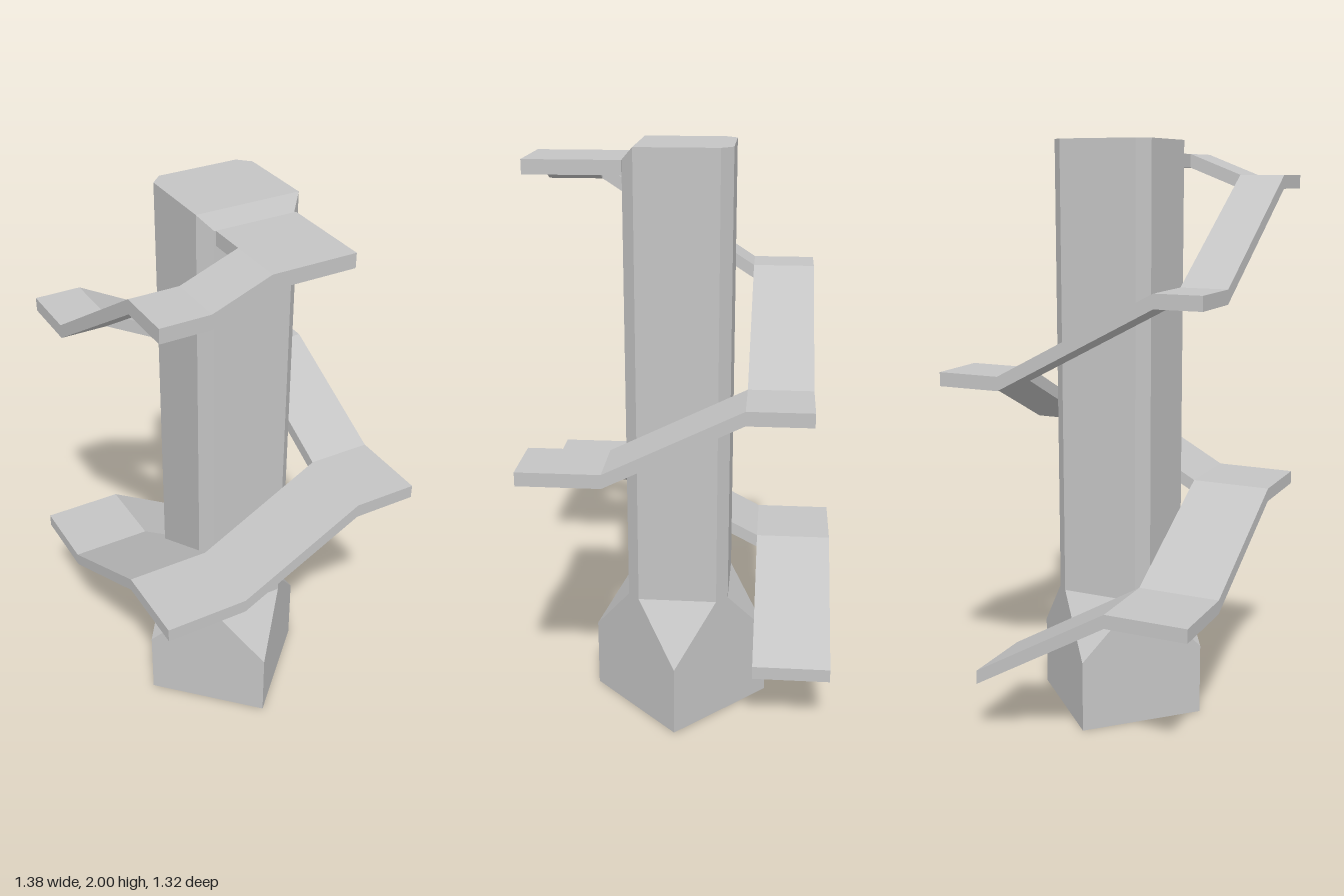
import * as THREE from 'three';
import { ConvexGeometry } from 'three/addons/geometries/ConvexGeometry.js';

const THICKNESS = 0.047;

export function createModel() {
  const group = new THREE.Group();
  const stone = new THREE.MeshStandardMaterial({ color: 0xc4c4c4 });
  stone.name = 'light grey stone';

  const add = (name, geometry) => {
    const mesh = new THREE.Mesh(geometry, stone);
    mesh.name = name;
    group.add(mesh);
  };

  // Column: square plinth whose corners taper into an octagonal shaft
  const cx = 0.03, cz = -0.03, half = 0.22, flat = 0.0275;
  const at = (x, y, z) => new THREE.Vector3(cx + x, y, cz + z);
  const square = (y) => [[1, 1], [-1, 1], [-1, -1], [1, -1]].map(([x, z]) => at(x * half, y, z * half));
  const octagon = (y) => [[half, flat], [flat, half], [-flat, half], [-half, flat],
    [-half, -flat], [-flat, -half], [flat, -half], [half, -flat]].map(([x, z]) => at(x, y, z));
  add('columnBase', new ConvexGeometry([...square(0), ...square(0.25), ...octagon(0.45)]));

  // Shaft: the top edge over the highest platform is bevelled
  const top = octagon(2);
  top[0].y = top[1].y = 1.957;
  add('columnShaft', new ConvexGeometry([...octagon(0.45), ...top]));

  // Slab on a diagonal grid: s = x + z, d = z - x. Top height runs from y0 to y1
  // along the chosen axis, at its low and high ends.
  function slab(name, [s0, s1], [d0, d1], y0, y1 = y0, axis = 's') {
    const geometry = new THREE.BoxGeometry(1, 1, 1).toNonIndexed();
    const p = geometry.attributes.position;
    for (let i = 0; i < p.count; i++) {
      const a = p.getX(i) + 0.5, b = p.getZ(i) + 0.5;
      const s = s0 + (s1 - s0) * a, d = d0 + (d1 - d0) * b;
      const y = y0 + (y1 - y0) * (axis === 's' ? a : b) + (p.getY(i) - 0.5) * THICKNESS;
      p.setXYZ(i, (s - d) / 2, y, (s + d) / 2);
    }
    geometry.computeVertexNormals();
    add(name, geometry);
  }

  // Lower turn of the ramp
  slab('ramp1', [-0.76, -0.38], [-0.46, 0.215], 0.262, 0.54, 'd');
  slab('leftLanding', [-0.76, -0.38], [0.215, 0.615], 0.54);
  slab('ramp2', [-0.38, 0.305], [0.215, 0.615], 0.54, 0.795, 's');
  slab('frontLanding', [0.305, 0.695], [0.215, 0.615], 0.795);
  slab('ramp3', [0.305, 0.695], [-0.385, 0.215], 1.028, 0.795, 'd');
  slab('rightLanding', [0.305, 0.695], [-0.695, -0.385], 1.028);
  slab('ramp4', [-0.33, 0.305], [-0.695, -0.385], 1.25, 1.028, 's');
  slab('backLanding', [-0.63, -0.33], [-0.695, -0.385], 1.25);

  // Upper turn, narrower, ending in the platform beside the column top
  slab('ramp5', [-0.63, -0.33], [-0.385, 0.39], 1.25, 1.54, 'd');
  slab('upperLeftLanding', [-0.63, -0.33], [0.39, 0.615], 1.54);
  slab('ramp6', [-0.33, 0.43], [0.39, 0.615], 1.54, 1.885, 's');
  slab('upperFrontLanding', [0.43, 0.695], [0.39, 0.615], 1.885);
  slab('ramp7', [0.43, 0.695], [0.125, 0.39], 1.957, 1.885, 'd');
  slab('topPlatform', [0.2475, 0.695], [-0.262, 0.125], 1.957);

  return group;
}
